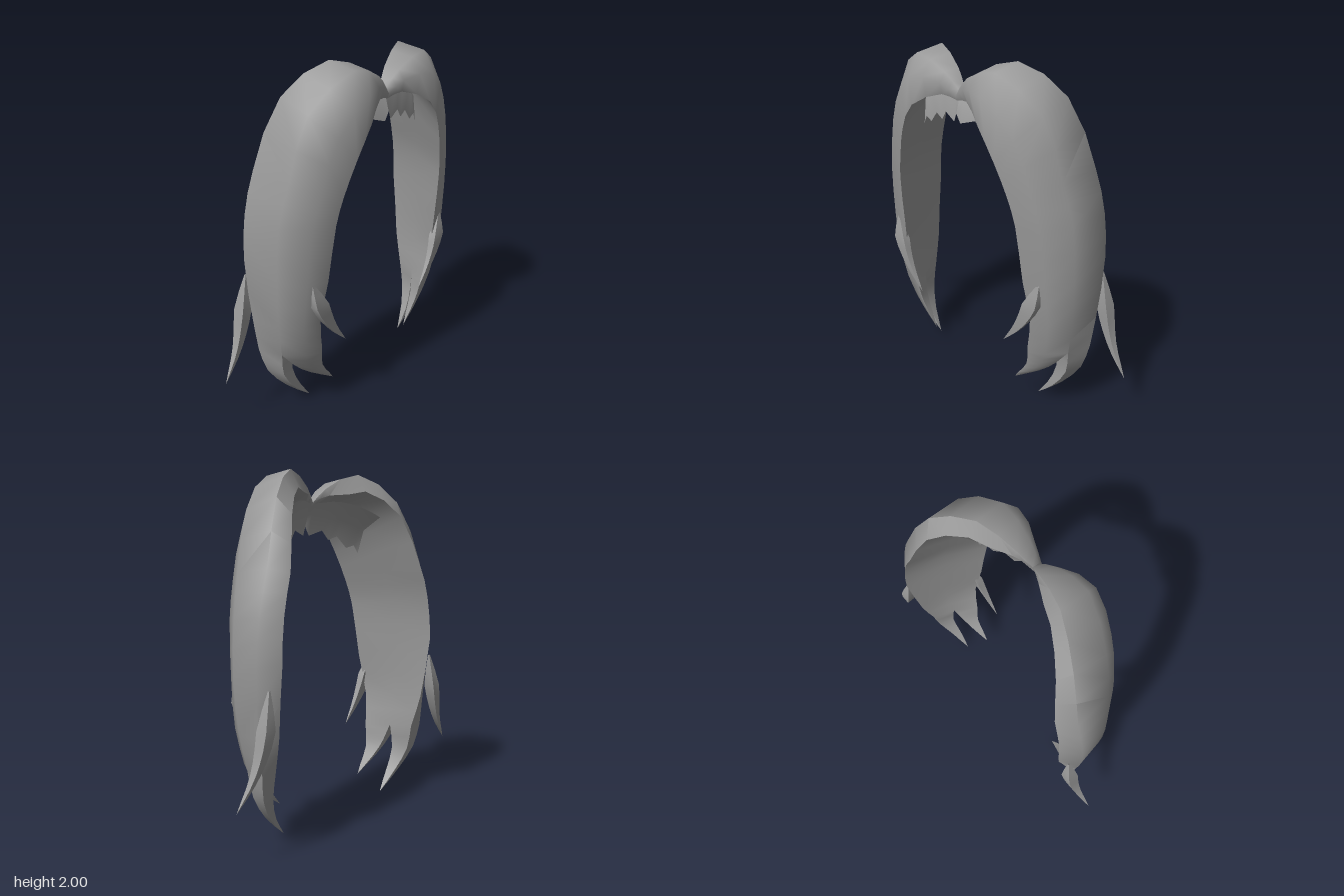
import * as THREE from 'three';
import { toCreasedNormals } from 'three/addons/utils/BufferGeometryUtils.js';

const hair = new THREE.MeshStandardMaterial({ color: 0x999999, side: THREE.DoubleSide });
hair.name = 'grey hair';

const V = (x, y, z) => new THREE.Vector3(x, y, z);
const curve = (points) => new THREE.CatmullRomCurve3(points.map((p) => V(...p)));

// Skins chains of rings (a one-point ring is a tip); side -1 mirrors in x
function loft(name, chains, side) {
  const pos = [];
  const tri = (...p) => {
    if (side < 0) p.reverse();
    p.forEach((v) => pos.push(v.x * side, v.y, v.z));
  };
  for (const rings of chains) {
    for (let i = 0; i < rings.length - 1; i++) {
      const r = rings[i], s = rings[i + 1], n = r.length;
      for (let j = 0; j < n; j++) {
        const k = (j + 1) % n;
        const c = s[j % s.length], d = s[k % s.length];
        tri(r[j], c, r[k]);
        if (s.length > 1) tri(r[k], c, d);
      }
    }
  }
  const geo = new THREE.BufferGeometry();
  geo.setAttribute('position', new THREE.Float32BufferAttribute(pos, 3));
  const mesh = new THREE.Mesh(toCreasedNormals(geo, 1.15), hair);
  mesh.name = name;
  return mesh;
}

// Three guide lines of the sweeping lock, from the parting down past the cheek
const frontEdge = curve([[0, 1.76, .17], [.1, 1.78, .195], [.27, 1.7, .27], [.38, 1.53, .26],
  [.45, 1.35, .23], [.49, 1.2, .21], [.515, .87, .17], [.54, .62, .13], [.5, .42, .1]]);
const bulge = curve([[0, 1.82, .16], [.09, 1.9, .18], [.31, 1.97, .19], [.56, 1.78, .1],
  [.67, 1.45, .06], [.73, 1.22, .03], [.75, .9, .02], [.735, .62, 0], [.7, .42, -.02]]);
const backEdge = curve([[0, 1.83, .12], [.08, 1.91, .09], [.3, 2, .02], [.54, 1.84, -.1],
  [.69, 1.48, -.17], [.76, 1.25, -.18], [.785, 1, -.18], [.76, .62, -.17], [.735, .42, -.165]]);

// Shrinks a ring along a path to a point
function taperTo(ring, path) {
  const centre = V(0, 0, 0);
  ring.forEach((p) => centre.addScaledVector(p, 1 / ring.length));
  const line = curve([centre.toArray(), ...path]);
  const rings = [ring];
  for (let i = 1; i < 6; i++) {
    const c = line.getPoint(i / 6);
    rings.push(ring.map((p) => p.clone().sub(centre).multiplyScalar((1 - i / 6) ** .85).add(c)));
  }
  return [...rings, [line.getPoint(1)]];
}

function sweepingLock(side) {
  const rings = [];
  for (let i = 0; i <= 16; i++) {
    const t = i / 16;
    const [a, o, b] = [frontEdge, bulge, backEdge].map((c) => c.getPoint(t));
    // Thickness points towards the middle of the arch and fades at the parting
    const fade = Math.min(1, b.x * 5);
    const inward = V(.3 - b.x, Math.min(b.y, 1.4) - b.y, 0).normalize().multiplyScalar(fade);
    const rounded = a.clone().lerp(o, .45).addScaledVector(inward, -.03);
    rounded.z += .015 + .025 * fade;
    const inner = b.clone().addScaledVector(inward, .1);
    inner.z -= (.04 + .06 * t) * fade * Math.min(1, (1 - t) * 4);
    const hollow = a.clone().lerp(inner, .5).addScaledVector(inward, -.02);
    rings.push([a, rounded, o, b, inner, hollow]);
  }
  // The end splits into two pointed tips
  const [a, rounded, o, b, inner, hollow] = rings.at(-1);
  const frontTip = taperTo([a, rounded, o, hollow], [[.53, .28, .04], [.365, .125, .06]]);
  const backTip = taperTo([o, b, inner, hollow], [[.65, .27, -.09], [.57, .13, -.065], [.455, .005, -.05]]);
  return loft('sweepingLock', [rings, frontTip, backTip], side);
}

// Side wisps: centre path, half width in x, half depth in z
const wisps = [
  { name: 'frontWisp', path: [[.61, .88, .145], [.555, .7, .16], [.475, .56, .165], [.37, .435, .165]], w: .062, d: .03 },
  { name: 'backWisp', path: [[.74, .88, -.225], [.785, .62, -.23], [.85, .45, -.22], [.96, .295, -.205]], w: .045, d: .045 },
];

function wisp({ name, path, w, d }, side) {
  const line = curve(path);
  const rings = [];
  for (let i = 0; i < 8; i++) {
    const t = i / 8, c = line.getPoint(t);
    const s = (1 - t) ** .85 * Math.min(1, .1 + 3.5 * t);
    rings.push([[-1, 1], [1, 1], [1, -1], [-1, -1]].map(([u, v]) => V(c.x + u * w * s, c.y, c.z + v * d * s)));
  }
  rings.push([line.getPoint(1)]);
  return loft(name, [rings], side);
}

// Short jagged fringe under the parting: a curved sheet flaring outwards
const jag = [[0, 1.69], [.025, 1.64], [.12, 1.67], [.165, 1.615], [.23, 1.635], [.3, 1.565], [.36, 1.58], [.39, 1.53]];

function fringe(side) {
  const pos = [], index = [];
  jag.forEach(([x, y], i) => {
    const t = x / .39;
    const low = [x, y, .18 - .09 * t];
    const top = [.43 * t, 1.82 + .12 * t - .19 * t * t, .13 - .18 * t];
    const mid = [(x + top[0]) / 2, 1.76 - .09 * t * t, .16 - .1 * t];
    [top, mid, low].forEach((p) => pos.push(p[0] * side, p[1], p[2]));
    if (i === jag.length - 1) return;
    for (let k = 0; k < 2; k++) {
      const a = i * 3 + k, b = a + 3;
      index.push(...(side > 0 ? [a, a + 1, b, b, a + 1, b + 1] : [a, b, a + 1, b, b + 1, a + 1]));
    }
  });
  const geo = new THREE.BufferGeometry();
  geo.setAttribute('position', new THREE.Float32BufferAttribute(pos, 3));
  geo.setIndex(index);
  geo.computeVertexNormals();
  const mesh = new THREE.Mesh(geo, hair);
  mesh.name = 'fringe';
  return mesh;
}

export function createModel() {
  const model = new THREE.Group();
  model.name = 'partedBangs';
  for (const side of [1, -1]) {
    const half = new THREE.Group();
    half.name = side > 0 ? 'leftBangs' : 'rightBangs';
    half.add(sweepingLock(side), fringe(side), ...wisps.map((p) => wisp(p, side)));
    model.add(half);
  }
  return model;
}
